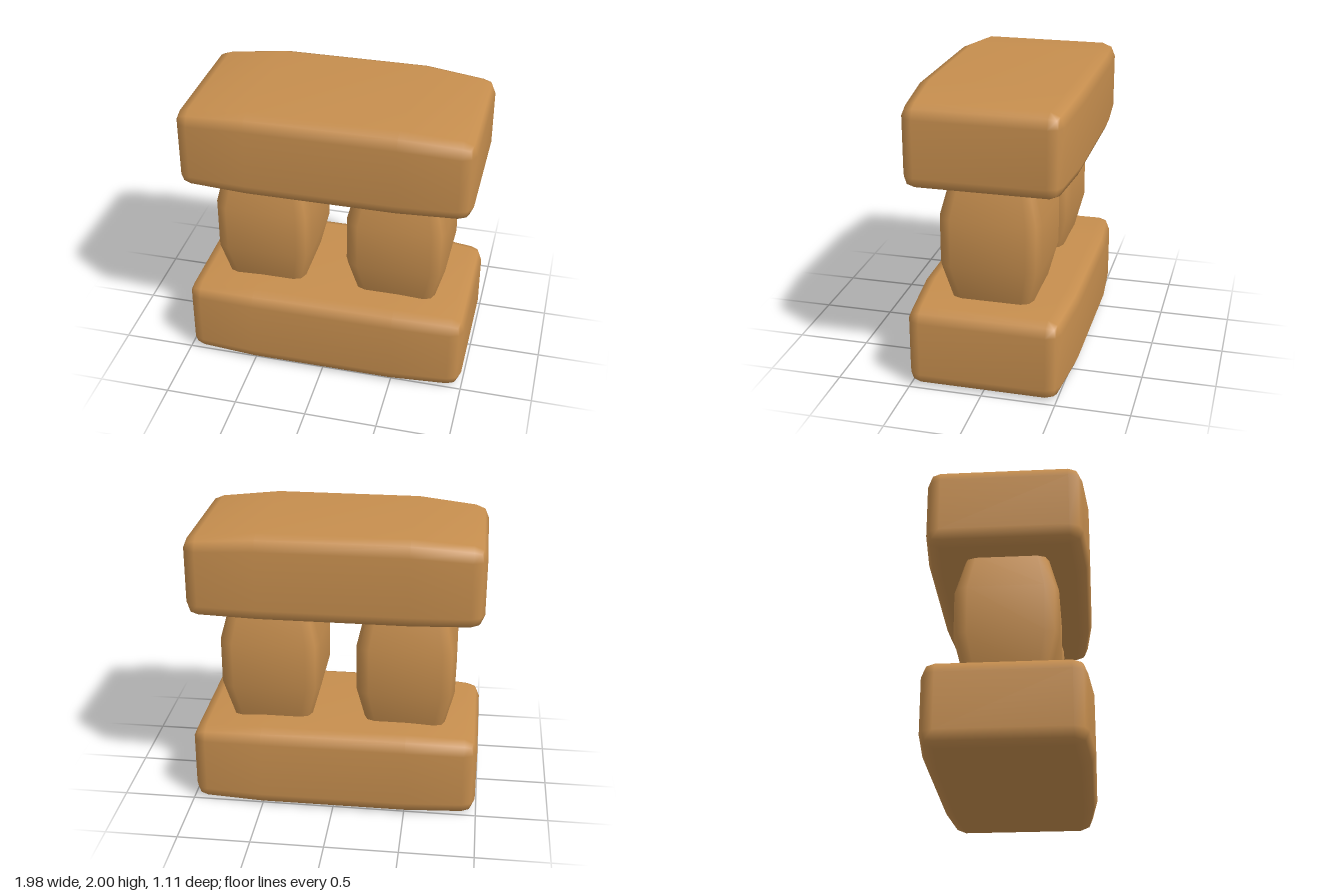
import * as THREE from 'three';
import { mergeVertices } from 'three/addons/utils/BufferGeometryUtils.js';

const stone = new THREE.MeshStandardMaterial({ color: 0xc68e4e });
stone.name = 'warm tan stone';

// Block with two-step rounded edges, whose middle stretch (|x| <= mid) swells
// by factors sy and sz. The y swelling is measured from pivotY.
function swollenBlock(hx, hy, hz, mid, r, sy, sz, pivotY) {
  let geo = new THREE.BoxGeometry(1, 1, 1, 5, 3, 3);
  geo.deleteAttribute('normal');
  geo.deleteAttribute('uv');
  geo = mergeVertices(geo);
  const xs = [-hx, r - hx, -mid, mid, hx - r, hx];
  const ys = [-hy, r - hy, hy - r, hy];
  const zs = [-hz, r - hz, hz - r, hz];
  const pick = (list, t) => list[Math.round((t + 0.5) * (list.length - 1))];
  const inner = new THREE.Vector3(hx - r, hy - r, hz - r);
  const outer = inner.clone().negate();
  const pos = geo.attributes.position;
  const p = new THREE.Vector3();
  for (let i = 0; i < pos.count; i++) {
    p.fromBufferAttribute(pos, i);
    p.set(pick(xs, p.x), pick(ys, p.y), pick(zs, p.z));
    // round edges and corners around the inner core
    const core = p.clone().clamp(outer, inner);
    p.sub(core).normalize().multiplyScalar(r).add(core);
    // swell the middle
    if (Math.abs(p.x) < mid + 0.001) {
      p.y = (p.y - pivotY) * sy + pivotY;
      p.z *= sz;
    }
    pos.setXYZ(i, p.x, p.y, p.z);
  }
  geo.computeVertexNormals();
  return geo;
}

export function createModel() {
  const group = new THREE.Group();
  const add = (name, geo, x, y) => {
    const mesh = new THREE.Mesh(geo, stone);
    mesh.name = name;
    mesh.position.set(x, y, 0);
    group.add(mesh);
  };

  // Horizontal slabs: flat underside, bulging top and sides
  const hy = 0.2815;
  const slab = (top) => swollenBlock(0.99, hy, 0.519, 0.5, 0.092, top / (2 * hy), 1.069, -hy);
  add('baseSlab', slab(0.587), 0, hy);
  add('topSlab', slab(0.6), 0, 1.4 + hy);

  // Upright pillars: same kind of block stood on end
  const pillar = (half) =>
    swollenBlock(0.5, 0.278, 0.278, 0.163, 0.075, half / 0.278, 0.345 / 0.278, 0).rotateZ(Math.PI / 2);
  add('rightPillar', pillar(0.34), -0.475, 0.988);
  add('leftPillar', pillar(0.347), 0.463, 0.988);

  return group;
}
